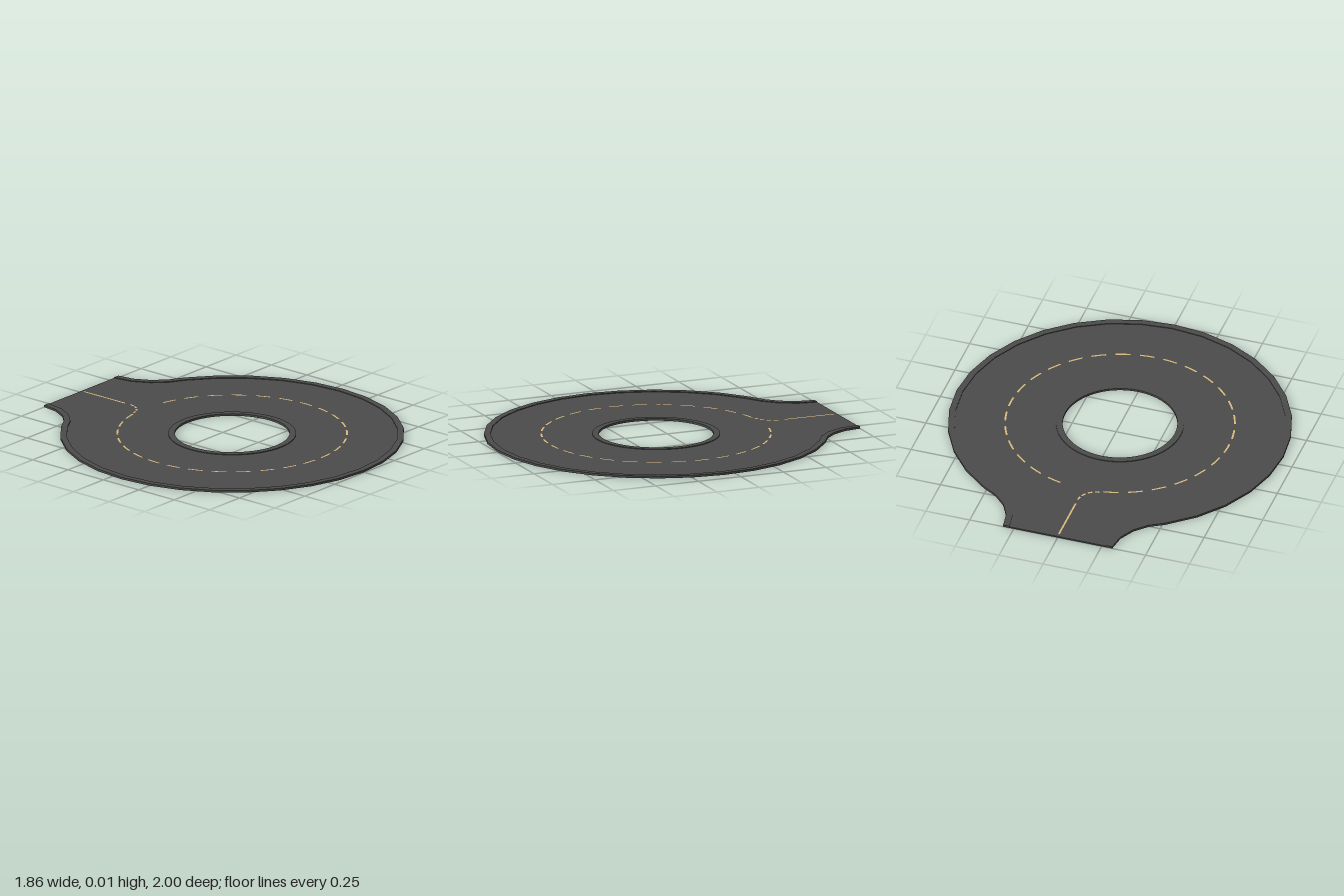
import * as THREE from 'three';

const CZ = 0.066;        // centre of the turning circle
const R_OUT = 0.93, R_IN = 0.31, R_LINE = 0.62;
const KERB = 0.035, ROAD_H = 0.008, KERB_H = 0.012, LINE_W = 0.01;
const rad = THREE.MathUtils.degToRad;

export function createModel() {
  const asphalt = new THREE.MeshStandardMaterial({ color: 0x4b4b4b });
  asphalt.name = 'asphalt';
  const paint = new THREE.MeshStandardMaterial({ color: 0xd8ba7c });
  paint.name = 'linePaint';

  const group = new THREE.Group();
  group.name = 'turningCircleRoad';

  const add = (name, geometry, material, y = 0) => {
    const mesh = new THREE.Mesh(geometry.rotateX(-Math.PI / 2), material);
    mesh.name = name;
    mesh.position.y = y;
    group.add(mesh);
  };
  const slab = (name, shape, depth) =>
    add(name, new THREE.ExtrudeGeometry(shape, { depth, bevelEnabled: false, curveSegments: 32 }), asphalt);

  // Outer outline, drawn flat with y pointing to the back: flared mouth, then 32-sided circle
  const half = [[0.31, 1], [0.325, 0.905], [0.37, 0.82], [0.435, 0.755]].map(p => new THREE.Vector2(...p));
  for (let k = 5; k >= -8; k--) {
    const a = rad(k * 11.25);
    half.push(new THREE.Vector2(R_OUT * Math.cos(a), R_OUT * Math.sin(a) - CZ));
  }
  const outer = [...half, ...half.slice(0, -1).reverse().map(p => new THREE.Vector2(-p.x, p.y))];

  // Same outline moved inward by the kerb width
  const inner = outer.map((p, i) => {
    const last = outer.length - 1;
    if (i === 0 || i === last) return new THREE.Vector2(p.x - Math.sign(p.x) * KERB, p.y);
    const t = outer[i + 1].clone().sub(outer[i - 1]).normalize();
    return new THREE.Vector2(p.x + t.y * KERB, p.y - t.x * KERB);
  });
  const circle = r => new THREE.Path().absarc(0, -CZ, r, 0, Math.PI * 2, true);

  // Road bed
  const road = new THREE.Shape(inner);
  road.holes.push(circle(R_IN + KERB));
  slab('roadBed', road, ROAD_H);

  // Raised kerbs along the outside and around the central opening
  slab('outerKerb', new THREE.Shape([...outer, ...inner.slice().reverse()]), KERB_H);
  const ring = new THREE.Shape().absarc(0, -CZ, R_IN + KERB, 0, Math.PI * 2, false);
  ring.holes.push(circle(R_IN));
  slab('innerKerb', ring, KERB_H);

  // Painted markings
  const lineY = ROAD_H + 0.0015;
  const arcDash = (name, cx, cy, r, start, sweep) => {
    const g = new THREE.RingGeometry(r - LINE_W / 2, r + LINE_W / 2, 4, 1, rad(start), rad(sweep));
    add(name, g.translate(cx, cy, 0), paint, lineY);
  };
  for (let i = 0; i < 28; i++) arcDash('circleDash', 0, -CZ, R_LINE, 77 - i * 12.2 - 7.5, 7.5);
  for (let i = 0; i < 4; i++) arcDash('bendDash', -0.1, 0.655, 0.1, -85 + i * 23, 15);
  add('entryLine', new THREE.PlaneGeometry(LINE_W, 0.29).translate(0, 0.835, 0), paint, lineY);

  return group;
}
